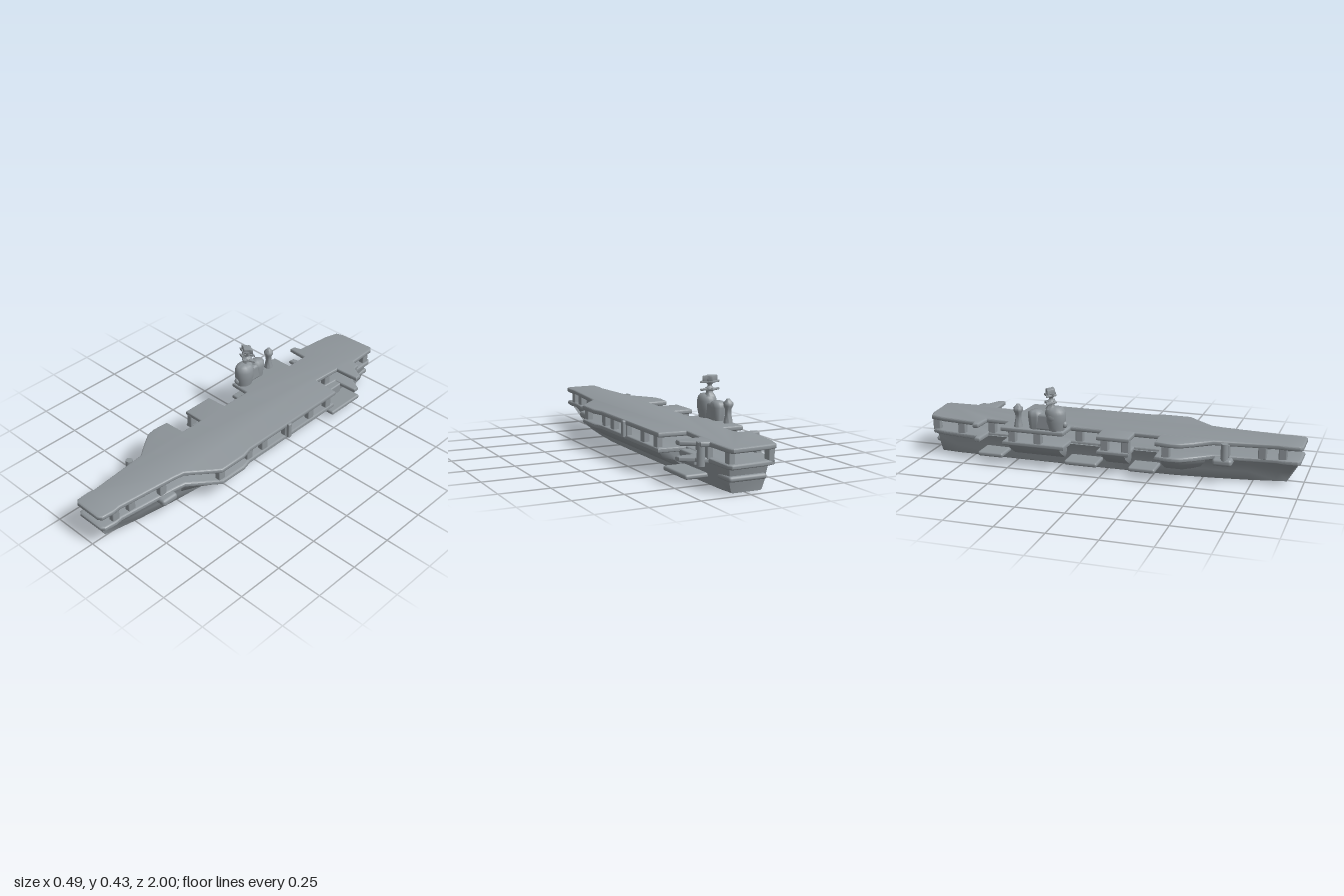
import * as THREE from 'three';
import { toCreasedNormals } from 'three/addons/utils/BufferGeometryUtils.js';
import { RoundedBoxGeometry } from 'three/addons/geometries/RoundedBoxGeometry.js';

export function createModel() {
  const model = new THREE.Group();
  model.name = 'aircraftCarrier';
  const grey = new THREE.MeshStandardMaterial({ color: 0x8e959a });
  grey.name = 'naval grey';

  function add(name, geo, x = 0, y = 0, z = 0) {
    const mesh = new THREE.Mesh(geo, grey);
    mesh.name = name;
    mesh.position.set(x, y, z);
    model.add(mesh);
    return mesh;
  }

  // Rounded box given by its limits
  function box(name, x0, x1, y0, y1, z0, z1, r = 0.008) {
    const w = x1 - x0, h = y1 - y0, d = z1 - z0;
    return add(name, new RoundedBoxGeometry(w, h, d, 2, Math.min(r, w / 2.1, h / 2.1, d / 2.1)),
      (x0 + x1) / 2, (y0 + y1) / 2, (z0 + z1) / 2);
  }

  // Skin over rings of [x, y, z], counter-clockwise from the front, listed front to back
  function loft(rings, crease = 0.7) {
    const n = rings[0].length, index = [];
    for (let s = 0; s < rings.length - 1; s++) {
      for (let i = 0; i < n; i++) {
        const a = s * n + i, b = s * n + (i + 1) % n;
        index.push(a, a + n, b, b, a + n, b + n);
      }
    }
    const last = (rings.length - 1) * n;
    for (let i = 1; i < n - 1; i++) index.push(0, i, i + 1, last, last + i + 1, last + i);
    const geo = new THREE.BufferGeometry();
    geo.setAttribute('position', new THREE.Float32BufferAttribute(rings.flat(2), 3));
    geo.setIndex(index);
    return toCreasedNormals(geo, crease);
  }

  // Turned shape from [radius, y] points, squashed along z
  function turned(name, x, z, points, squash = 1) {
    const profile = points.map(([r, y]) => new THREE.Vector2(r, y));
    const mesh = add(name, toCreasedNormals(new THREE.LatheGeometry(profile, 24), 0.9), x, 0, z);
    mesh.scale.z = squash;
    return mesh;
  }

  // Horizontal slab with a rounded rim from [x, z] points
  function slab(name, outline, top, height, bevel) {
    const shape = new THREE.Shape(outline.map(([x, z]) => new THREE.Vector2(x, z)));
    const geo = new THREE.ExtrudeGeometry(shape, {
      depth: height - 2 * bevel, bevelEnabled: true, bevelThickness: bevel,
      bevelSize: bevel, bevelOffset: -bevel, bevelSegments: 3,
    });
    geo.rotateX(Math.PI / 2);
    return add(name, toCreasedNormals(geo, 0.7), 0, top - bevel, 0);
  }

  // Hull: [bottom z, top z, bottom, middle and top half widths]
  const stations = [
    [0.915, 0.985, 0.004, 0.01, 0.07],
    [0.86, 0.92, 0.016, 0.026, 0.08],
    [0.72, 0.74, 0.045, 0.055, 0.088],
    [0.55, 0.55, 0.07, 0.08, 0.11],
    [0.35, 0.35, 0.09, 0.099, 0.12],
    [0, 0, 0.095, 0.104, 0.122],
    [-0.5, -0.5, 0.095, 0.104, 0.122],
    [-0.85, -0.85, 0.09, 0.1, 0.115],
    [-0.945, -0.965, 0.08, 0.092, 0.1],
  ];
  add('hull', loft(stations.map(([zb, zt, b, m, t]) => {
    const half = [[b * 0.9, 0], [b, 0.006], [m, 0.05], [m * 0.55 + t * 0.45, 0.09], [t, 0.125]];
    const at = (side) => ([w, y]) => [side * w - 0.01, y, zb + (zt - zb) * (y / 0.125) ** 1.4];
    return [...half.map(at(1)), ...half.map(at(-1)).reverse()];
  })));

  // Flight deck and the gallery deck below share one outline with lift openings
  const outline = [
    [-0.085, 1], [-0.102, 0.985], [-0.106, 0.92], [-0.1, 0.88], [-0.13, 0.56], [-0.19, 0.48],
    [-0.23, 0.42], [-0.24, 0.37], [-0.232, 0.285], [-0.12, 0.28], [-0.12, 0.15], [-0.23, 0.15],
    [-0.23, -0.02], [-0.12, -0.025], [-0.12, -0.195], [-0.23, -0.2], [-0.23, -0.54], [-0.12, -0.54],
    [-0.12, -0.665], [-0.228, -0.67], [-0.225, -0.7], [-0.187, -0.71], [-0.165, -0.9], [-0.145, -0.975], [-0.1, -0.99],
    [0.09, -1], [0.105, -0.98], [0.11, -0.82], [0.15, -0.81], [0.155, -0.775], [0.22, -0.74],
    [0.222, -0.705], [0.09, -0.7], [0.08, -0.54], [0.222, -0.53], [0.224, 0.14], [0.24, 0.2],
    [0.24, 0.355], [0.12, 0.5], [0.11, 0.56], [0.08, 0.88], [0.086, 0.92], [0.08, 0.985], [0.06, 1],
  ].reverse();
  slab('flightDeck', outline, 0.215, 0.025, 0.007);
  slab('galleryDeck', outline.map(([x, z]) => [x, z * 0.99]), 0.139, 0.025, 0.01);

  // Pillars between the decks
  const pillars = [
    [0.9, 0.06, -0.08], [0.8, 0.06, -0.09], [0.62, 0.085, -0.11], [0.34, 0.21, -0.215],
    [0.13, 0.2, -0.208], [0.02, 0.2, -0.208], [-0.15, 0.205, -0.1], [-0.34, 0.2, -0.21],
    [-0.48, 0.2, -0.21], [-0.64, 0.06, -0.1], [-0.79, 0.1, -0.155], [-0.95, 0.08, -0.125],
  ];
  for (const [z, ...xs] of pillars) {
    for (const x of xs) box('deckPillar', x - 0.016, x + 0.016, 0.13, 0.2, z - 0.021, z + 0.021, 0.006);
  }

  // Flared overhangs under the gallery deck
  function overhang(side, z0, z1, noseLength) {
    const section = [[0.07, 0.035], [0.115, 0.042], [0.15, 0.065], [0.185, 0.088], [0.208, 0.12], [0.07, 0.12]];
    const ring = (z, k) => {
      const pts = section.map(([x, y]) => [side * (0.07 + (x - 0.07) * k), 0.12 - (0.12 - y) * (0.6 + 0.4 * k), z]);
      return side > 0 ? pts : pts.reverse();
    };
    add('hullOverhang', loft([ring(z0 + noseLength, 0.3), ring(z0, 1), ring(z1, 1), ring(z1 - 0.02, 0.7)]));
  }
  overhang(1, 0.36, -0.5, 0.13);
  overhang(-1, 0.4, 0.31, 0.12);
  overhang(-1, 0.12, 0.0, 0.02);
  overhang(-1, -0.23, -0.51, 0.02);

  // Lowered lift platforms
  for (const [z0, z1] of [[0.145, 0.285], [-0.195, -0.02], [-0.675, -0.535]]) {
    box('liftPlatform', -0.229, -0.07, 0.042, 0.066, z0, z1, 0.01);
  }
  box('liftPlatform', 0.06, 0.205, 0.036, 0.06, -0.77, -0.54, 0.01);
  box('liftLedge', 0.06, 0.125, 0.08, 0.135, -0.7, -0.56);

  // Sponsons and side fittings
  box('bowSponson', -0.168, -0.07, 0.095, 0.132, 0.56, 0.66, 0.015);
  box('bowSponson', 0.06, 0.138, 0.092, 0.13, 0.56, 0.655, 0.015);
  add('bowColumn', new THREE.CylinderGeometry(0.018, 0.02, 0.09, 20), -0.147, 0.165, 0.62);
  add('quarterColumn', new THREE.CylinderGeometry(0.018, 0.02, 0.11, 20), 0.138, 0.155, -0.79);
  box('sideLadder', 0.215, 0.238, 0.125, 0.212, -0.162, -0.138, 0.006);
  box('sternLedge', -0.1, 0.095, 0.055, 0.082, -0.975, -0.86, 0.012);

  // Island superstructure
  turned('bridge', -0.19, -0.25, [
    [0.038, 0.21], [0.041, 0.23], [0.047, 0.26], [0.048, 0.3], [0.044, 0.318], [0.034, 0.332], [0.015, 0.337], [0, 0.338],
  ], 1.15);
  box('islandHouse', -0.225, -0.165, 0.21, 0.3, -0.38, -0.24, 0.015);
  turned('islandAftHouse', -0.195, -0.355, [
    [0.03, 0.21], [0.032, 0.23], [0.037, 0.28], [0.035, 0.3], [0.025, 0.31], [0, 0.314],
  ], 1.15);
  const lump = (name, x, y, z, sx, sy, sz) =>
    add(name, new THREE.SphereGeometry(1, 20, 14), x, y, z).scale.set(sx, sy, sz);
  lump('bridgeFrontDome', -0.195, 0.246, -0.2, 0.014, 0.018, 0.014);
  lump('bridgeSideBulge', -0.222, 0.285, -0.255, 0.017, 0.03, 0.03);

  // Mast with star-shaped platforms
  turned('mast', -0.193, -0.272, [
    [0.03, 0.325], [0.018, 0.342], [0.017, 0.355], [0.022, 0.366], [0.011, 0.375], [0.011, 0.384], [0.024, 0.395], [0.026, 0.41], [0, 0.41],
  ]);
  function star(rx, rz, inner) {
    return Array.from({ length: 24 }, (_, i) => {
      const a = i / 24 * Math.PI * 2;
      const k = inner + (1 - inner) * Math.cos(2 * a) ** 4;
      return [-0.193 + rx * k * Math.cos(a), -0.275 + rz * k * Math.sin(a)];
    });
  }
  slab('mastPlatform', star(0.056, 0.034, 0.6), 0.365, 0.011, 0.003);
  slab('mastPlatform', star(0.056, 0.034, 0.6), 0.404, 0.011, 0.003);
  slab('mastHead', star(0.042, 0.026, 0.65), 0.43, 0.03, 0.003);

  // Separate aft mast
  turned('aftMast', -0.198, -0.452, [
    [0.024, 0.21], [0.021, 0.23], [0.015, 0.26], [0.016, 0.285], [0.024, 0.3], [0.025, 0.315], [0.014, 0.326], [0.009, 0.335], [0, 0.337],
  ]);

  return model;
}
